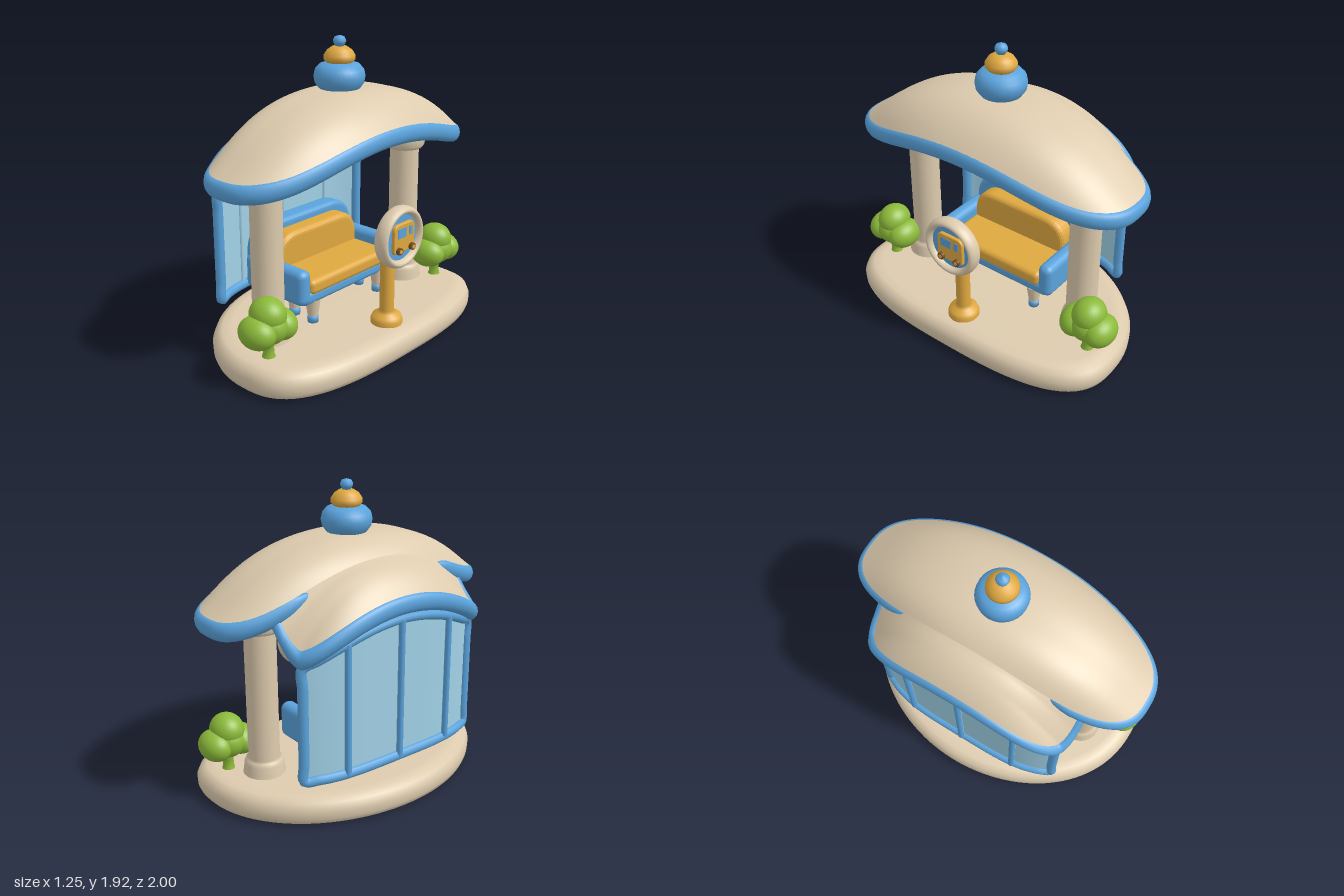
import * as THREE from 'three';
import { mergeVertices } from 'three/addons/utils/BufferGeometryUtils.js';
import { RoundedBoxGeometry } from 'three/addons/geometries/RoundedBoxGeometry.js';

const paint = (name, color) => Object.assign(new THREE.MeshStandardMaterial({ color }), { name });

export function createModel() {
  const cream = paint('cream', 0xddcbae), blue = paint('blue', 0x5aa3dc), yellow = paint('yellow', 0xdfa840);
  const green = paint('green', 0x8cba3a), brown = paint('brown', 0x784c22), glass = paint('glass', 0xa2d2e8);
  glass.side = THREE.DoubleSide;
  const root = new THREE.Group();
  root.name = 'busShelter';

  const add = (name, geo, mat, x = 0, y = 0, z = 0, parent = root) => {
    const m = new THREE.Mesh(geo, mat);
    m.name = name;
    m.position.set(x, y, z);
    parent.add(m);
    return m;
  };
  // Smooth grid surface from f(u, v) -> [x, y, z]
  const surface = (nu, nv, f) => {
    const pos = [], idx = [], w = nv + 1;
    for (let i = 0; i <= nu; i++) for (let j = 0; j <= nv; j++) pos.push(...f(i / nu, j / nv));
    for (let i = 0; i < nu; i++) for (let j = 0; j < nv; j++) {
      const a = i * w + j, b = a + w;
      idx.push(a, b, a + 1, b, b + 1, a + 1);
    }
    let g = new THREE.BufferGeometry();
    g.setAttribute('position', new THREE.Float32BufferAttribute(pos, 3));
    g.setIndex(idx);
    g = mergeVertices(g, 1e-4);
    g.computeVertexNormals();
    return g;
  };
  // Rounded plan outline: superellipse with its own reach and squareness on the +x and -x sides
  const plan = (cx, ap, am, b, np, nm) => (t, inset = 0, r = 1) => {
    const c = Math.cos(t), s = Math.sin(t), n = c > 0 ? np : nm;
    const k = r / Math.pow(Math.abs(c) ** n + Math.abs(s) ** n, 1 / n);
    return [cx + ((c > 0 ? ap : am) - inset) * c * k, (b - inset) * s * k];
  };
  const lathe = (pts, n = 32) => new THREE.LatheGeometry(pts.map(p => new THREE.Vector2(...p)), n);
  const box = (x0, x1, y0, y1, w, r) => new RoundedBoxGeometry(x1 - x0, y1 - y0, w, 4, r)
    .translate((x0 + x1) / 2, (y0 + y1) / 2, 0);
  // Slab facing +x, with rounded top and bottom corners and soft edges
  const slab = (hw, y0, y1, rt, rb, x0, x1, bev) => {
    const w = hw - bev, b = y0 + bev, t = y1 - bev, s = new THREE.Shape();
    s.moveTo(-w + rb, b).lineTo(w - rb, b).quadraticCurveTo(w, b, w, b + rb).lineTo(w, t - rt);
    s.quadraticCurveTo(w, t, w - rt, t).lineTo(-w + rt, t).quadraticCurveTo(-w, t, -w, t - rt);
    s.lineTo(-w, b + rb).quadraticCurveTo(-w, b, -w + rb, b);
    return new THREE.ExtrudeGeometry(s, {
      depth: x1 - x0 - 2 * bev, bevelThickness: bev, bevelSize: bev, bevelSegments: 4, curveSegments: 10,
    }).rotateY(Math.PI / 2).translate(x0 + bev, 0, 0);
  };

  // Platform
  const floor = plan(0.15, 0.47, 0.78, 0.975, 2.9, 2);
  const edge = [[9, 0.19], [0.12, 0.19], [0.06, 0.184], [0.02, 0.16], [0, 0.11],
    [0.003, 0.06], [0.015, 0.03], [0.045, 0.012]];
  add('platform', surface(96, edge.length - 1, (u, v) => {
    const [d, y] = edge[Math.round(v * (edge.length - 1))];
    const [x, z] = d > 1 ? [0.05, 0] : floor(u * Math.PI * 2, d);
    return [x, y, z];
  }), cream);
  add('platformUnderside', surface(96, 1, (u, v) => {
    const [x, z] = floor(u * Math.PI * 2, 0.045, 1 - v);
    return [x, 0.012, z];
  }), brown);

  // Domed roofs: top skin, hollow underside (angles s0 to s1, lip inset and drop, bulge) and padded rim (t0 to t1)
  const roof = (name, outline, rimY, [lift, dome], [inset, drop, hollow, bulge], [s0, s1], [t0, t1]) => {
    add(name + 'Top', surface(96, 18, (u, v) => {
      const [x, z] = outline(s0 + (s1 - s0) * u, 0.022, v);
      return [x, rimY(x, z, v) + lift + dome * (1 - v ** 2.7), z];
    }), cream);
    add(name + 'Underside', surface(96, 18, (u, v) => {
      const r = 1 - v, [x, z] = outline(s0 + (s1 - s0) * u, inset, r);
      return [x, rimY(x, z, r) - drop + hollow * (1 - r ** 3) ** bulge, z];
    }), cream);
    add(name + 'Rim', surface(110, 14, (u, v) => {
      const t = t0 + (t1 - t0) * u, p = v * Math.PI * 2;
      const k = Math.min(1, Math.sqrt(Math.min(u, 1 - u) * 40));
      const [x, z] = outline(t, 0.04 - 0.04 * k * Math.cos(p));
      const [cx, cz] = outline(t, 0.04);
      return [x, rimY(cx, cz, 1) - 0.058 * k * Math.sin(p), z];
    }), blue);
  };
  const PI = Math.PI;
  roof('mainRoof', plan(0.06, 0.43, 0.37, 1, 2.5, 2.9),
    (x, z, r) => 1.385 - 0.19 * z * z - 0.04 * r ** 6 * Math.sin(PI * Math.min(1, z * z))
      + 0.09 * (Math.max(0, 0.06 - x) / 0.36) ** 2 * (1 - Math.min(1, z * z)),
    [0.05, 0.185], [0.05, 0.052, 0.175, 1], [0, 2 * PI], [-PI + 0.46, PI - 0.46]);
  roof('rearRoof', plan(-0.2, 0.36, 0.36, 0.72, 4, 4),
    (x, z) => 1.29 + 0.25 * Math.max(0, x + 0.3) + (z / 0.72) ** 2 * (1.0 * Math.max(0, x + 0.4) - 0.27),
    [0.045, 0.175], [0.03, 0.062, 0.235, 1.8], [0.46 * PI, 1.54 * PI], [0.46 * PI, 1.54 * PI]);

  // Finial
  add('finialBase', lathe([[0, 1.58], [0.1, 1.59], [0.125, 1.615], [0.15, 1.65], [0.157, 1.69], [0.148, 1.73],
    [0.12, 1.76], [0.07, 1.775], [0, 1.78]]), blue, 0.03);
  add('finialMiddle', lathe([[0, 1.76], [0.08, 1.77], [0.097, 1.79], [0.095, 1.815], [0.075, 1.845], [0.045, 1.865],
    [0, 1.87]]), yellow, 0.03);
  add('finialTip', lathe([[0, 1.855], [0.024, 1.865], [0.036, 1.885], [0.04, 1.9], [0.03, 1.922], [0, 1.932]], 20), blue, 0.03);

  // Columns and trees, one of each per end
  const column = lathe([[0.135, 0.18], [0.128, 0.21], [0.122, 0.26], [0.112, 0.285], [0.097, 0.295], [0.097, 1.11],
    [0.118, 1.118], [0.133, 1.14], [0.138, 1.18], [0.136, 1.22], [0.12, 1.25], [0.1, 1.26], [0.1, 1.4]]);
  const trunk = lathe([[0.042, 0.185], [0.034, 0.21], [0.032, 0.25], [0.05, 0.32]], 16);
  for (const s of [1, -1]) {
    add('column', column, cream, 0.04, 0, 0.64 * s);
    const tree = new THREE.Group();
    tree.name = 'tree';
    tree.position.set(0.205, 0, 0.8 * s);
    root.add(tree);
    add('trunk', trunk, green, 0, 0, 0, tree);
    for (const [y, z, r, sx] of [[0.455, 0, 0.104, 1.12], [0.37, 0.085, 0.098, 1.28], [0.37, -0.085, 0.098, 1.28],
      [0.385, 0, 0.11, 1.14]])
      add('foliage', new THREE.SphereGeometry(r, 28, 18).scale(sx, 1, 1), green, 0, y, z, tree);
  }

  // Curved rear window wall
  const HW = 0.64, wallX = z => -0.478 + 0.09 * (z / HW) ** 4, wallTop = z => 1.19 - 0.18 * (z / HW) ** 2;
  add('windowGlass', surface(32, 6, (u, v) => {
    const z = (u * 2 - 1) * HW;
    return [wallX(z), 0.3 + v * (wallTop(z) - 0.3), z];
  }), glass);
  // Row of points across the wall, dx in front of it, at height y(z)
  const across = (y, dx) => Array.from({ length: 17 }, (_, i) => (i / 8 - 1) * HW)
    .map(z => new THREE.Vector3(wallX(z) + dx, y(z), z));
  const post = z => [1, 2, 3, 4, 5].map(i => new THREE.Vector3(wallX(z), 0.3 + i / 6 * (wallTop(z) - 0.3), z));
  const frame = [...across(() => 0.3, 0), ...post(HW), ...across(wallTop, 0).reverse(), ...post(-HW).reverse()];
  add('windowFrame', new THREE.TubeGeometry(new THREE.CatmullRomCurve3(frame, true), 200, 0.032, 10, true), blue);
  add('innerTopFrame', new THREE.TubeGeometry(
    new THREE.CatmullRomCurve3(across(wallTop, 0.012)), 48, 0.034, 10), glass);
  for (const z of [-0.39, 0, 0.39]) {
    const h = wallTop(z) - 0.3;
    add('mullion', new THREE.CylinderGeometry(0.02, 0.02, h, 12), blue, wallX(z) - 0.018, 0.3 + h / 2, z);
    add('innerMullion', new THREE.CylinderGeometry(0.014, 0.014, h, 12), glass, wallX(z), 0.3 + h / 2, z);
  }

  // Bench
  add('benchBack', slab(0.435, 0.36, 0.755, 0.17, 0.03, -0.38, -0.25, 0.03), blue);
  add('benchBase', box(-0.37, 0.135, 0.33, 0.42, 0.86, 0.035), blue);
  add('backCushion', slab(0.365, 0.42, 0.7, 0.13, 0.02, -0.28, -0.14, 0.035), yellow);
  add('seatCushion', box(-0.3, 0.145, 0.39, 0.49, 0.74, 0.035), yellow);
  const leg = lathe([[0.033, 0.23], [0.037, 0.26], [0.05, 0.35]], 16);
  const foot = lathe([[0, 0.185], [0.034, 0.187], [0.036, 0.215], [0.034, 0.238], [0, 0.24]], 16);
  for (const s of [1, -1]) {
    add('armrest', box(-0.37, 0.14, 0.335, 0.565, 0.1, 0.045), blue, 0, 0, 0.408 * s);
    for (const x of [0.09, -0.07]) {
      add('benchLeg', leg, cream, x, 0, 0.31 * s);
      add('benchFoot', foot, blue, x, 0, 0.31 * s);
    }
  }

  // Stop sign post with round plate
  add('signPost', lathe([[0.1, 0.185], [0.1, 0.215], [0.09, 0.24], [0.06, 0.255], [0.046, 0.275], [0.045, 0.84],
    [0.036, 0.862], [0, 0.87]]), yellow, 0.428);
  const disc = (r, d) => new THREE.CylinderGeometry(r, r, d, 48).rotateZ(PI / 2);
  const Y = 0.778;
  add('signRing', new THREE.TorusGeometry(0.168, 0.026, 16, 56).scale(1, 1, 1.85).rotateY(PI / 2), cream, 0.513, Y);
  add('signBack', disc(0.165, 0.04), cream, 0.5, Y);
  add('signFace', disc(0.16, 0.008), blue, 0.524, Y);
  // Bus symbol
  add('busBody', slab(0.097, 0.69, 0.872, 0.035, 0.015, 0.52, 0.55, 0.008), yellow, 0, 0, -0.008);
  add('busWindow', new THREE.BoxGeometry(0.006, 0.06, 0.08), blue, 0.55, 0.815, 0.02);
  add('busSideWindow', new THREE.BoxGeometry(0.006, 0.055, 0.03), blue, 0.55, 0.815, -0.06);
  for (const z of [0.052, -0.068]) {
    add('busWheel', disc(0.022, 0.03), brown, 0.555, 0.71, z);
    add('busHub', disc(0.012, 0.006), yellow, 0.571, 0.71, z);
  }
  return root;
}
